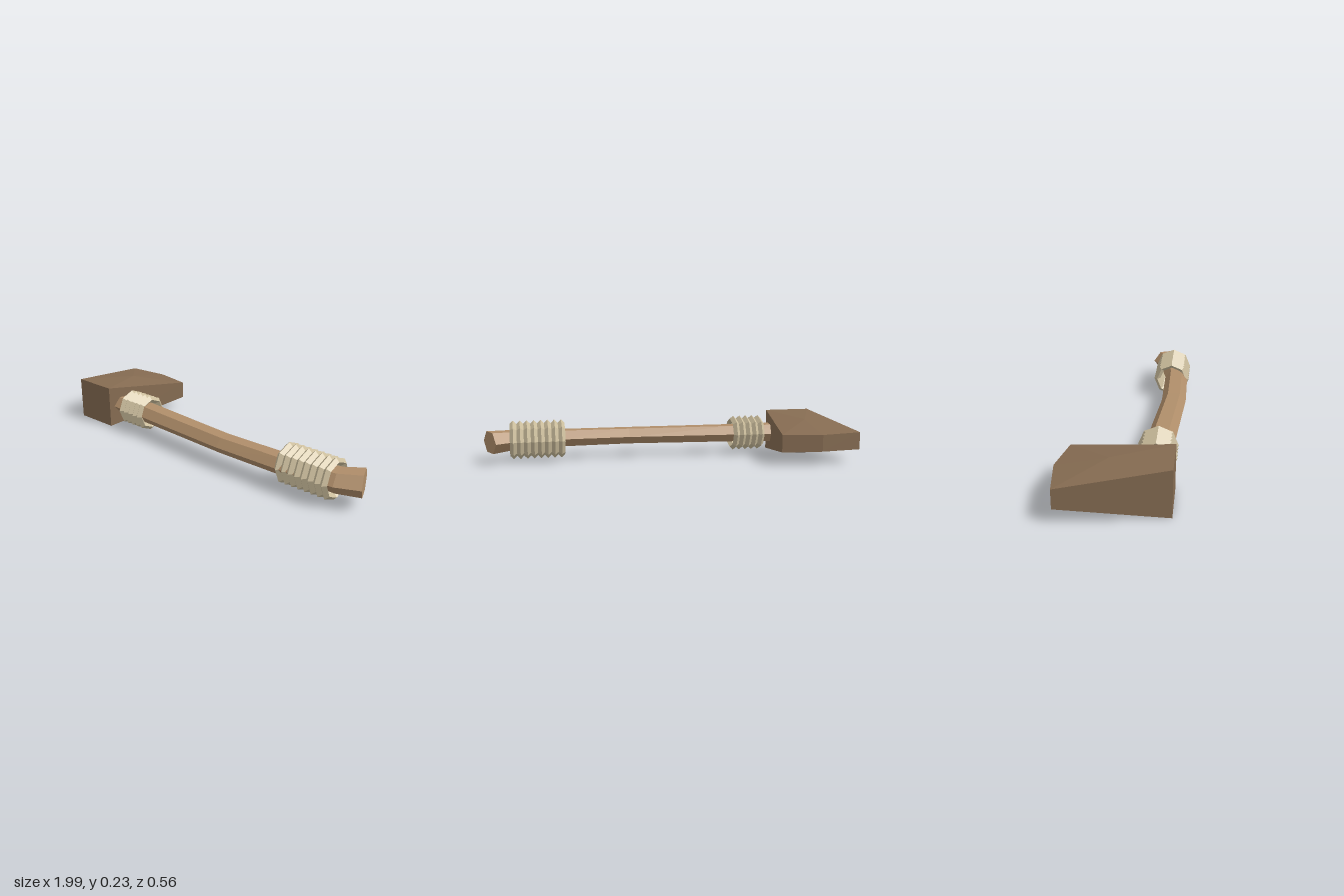
import * as THREE from 'three';

const MID_Y = 0.115; // the whole tool is symmetric about this height

const stone = new THREE.MeshStandardMaterial({ color: 0x866c52 });
stone.name = 'dark brown head';
const wood = new THREE.MeshStandardMaterial({ color: 0xb08e6a });
wood.name = 'light brown wood';
const rope = new THREE.MeshStandardMaterial({ color: 0xcbbd9c });
rope.name = 'beige rope';

// Separate triangles give flat facets
function facetedMesh(name, triangles, material) {
  const geometry = new THREE.BufferGeometry().setFromPoints(triangles);
  geometry.computeVertexNormals();
  const mesh = new THREE.Mesh(geometry, material);
  mesh.name = name;
  return mesh;
}

// Wedge head: thick at the hammer face, flaring to a thinner curved blade
function createHead() {
  // outline seen from above: x, z, half height
  const outline = [
    [-0.905, 0.26, 0.115], [-0.645, 0.26, 0.115],
    [-0.555, -0.245, 0.047], [-0.77, -0.28, 0.045], [-1, -0.245, 0.047],
  ];
  const point = ([x, z, h], side) => new THREE.Vector3(x, MID_Y + side * h, z);
  const crown = [-0.77, -0.03, 0.095];
  const tris = [];
  outline.forEach((a, i) => {
    const b = outline[(i + 1) % outline.length];
    tris.push(point(a, 1), point(b, 1), point(crown, 1));
    tris.push(point(b, -1), point(a, -1), point(crown, -1));
    tris.push(point(a, -1), point(b, -1), point(b, 1));
    tris.push(point(a, -1), point(b, 1), point(a, 1));
  });
  return facetedMesh('head', tris, stone);
}

// Bent six-sided handle with a flared, tilted end
function createHandle() {
  // x, z, half width, half height, tilt
  const sections = [
    [-0.72, 0.148, 0.08, 0.049, 0],
    [-0.4, 0.168, 0.073, 0.045, 0],
    [0.2, 0.207, 0.068, 0.042, 0],
    [0.6, 0.202, 0.068, 0.044, 0.05],
    [0.86, 0.172, 0.083, 0.05, 0.22],
    [0.96, 0.12, 0.087, 0.056, 0.41],
  ];
  const centre = ([x, z]) => new THREE.Vector3(x, MID_Y, z);
  const corner = ([x, z, w, h, tilt], i) => {
    const a = (i * Math.PI) / 3;
    const across = w * Math.cos(a);
    return new THREE.Vector3(
      x + across * Math.sin(tilt),
      MID_Y + (h * Math.sin(a)) / Math.sin(Math.PI / 3),
      z + across * Math.cos(tilt),
    );
  };
  const tris = [];
  const first = sections[0];
  const last = sections[sections.length - 1];
  for (let i = 0; i < 6; i++) {
    for (let s = 0; s < sections.length - 1; s++) {
      const a = sections[s];
      const b = sections[s + 1];
      tris.push(corner(a, i), corner(b, i), corner(b, i + 1));
      tris.push(corner(a, i), corner(b, i + 1), corner(a, i + 1));
    }
    tris.push(centre(first), corner(first, i), corner(first, i + 1));
    tris.push(centre(last), corner(last, i + 1), corner(last, i));
  }
  return facetedMesh('handle', tris, wood);
}

// Row of eight-sided rope coils with diamond cross-sections
function createBinding(name, count, startX, z, outerRadius) {
  const pitch = 0.037;
  const thickness = 0.0185;
  const group = new THREE.Group();
  group.name = name;
  const geometry = new THREE.TorusGeometry(outerRadius - thickness, thickness, 4, 8)
    .rotateY(Math.PI / 2)
    .toNonIndexed();
  geometry.computeVertexNormals();
  for (let i = 0; i < count; i++) {
    const coil = new THREE.Mesh(geometry, rope);
    coil.name = 'ropeCoil';
    coil.position.set(startX + (i + 0.5) * pitch, MID_Y, z);
    group.add(coil);
  }
  return group;
}

export function createModel() {
  const model = new THREE.Group();
  model.name = 'hammer';
  model.add(
    createHead(),
    createHandle(),
    createBinding('headBinding', 5, -0.575, 0.163, 0.1),
    createBinding('gripBinding', 8, 0.56, 0.174, 0.107),
  );
  return model;
}
